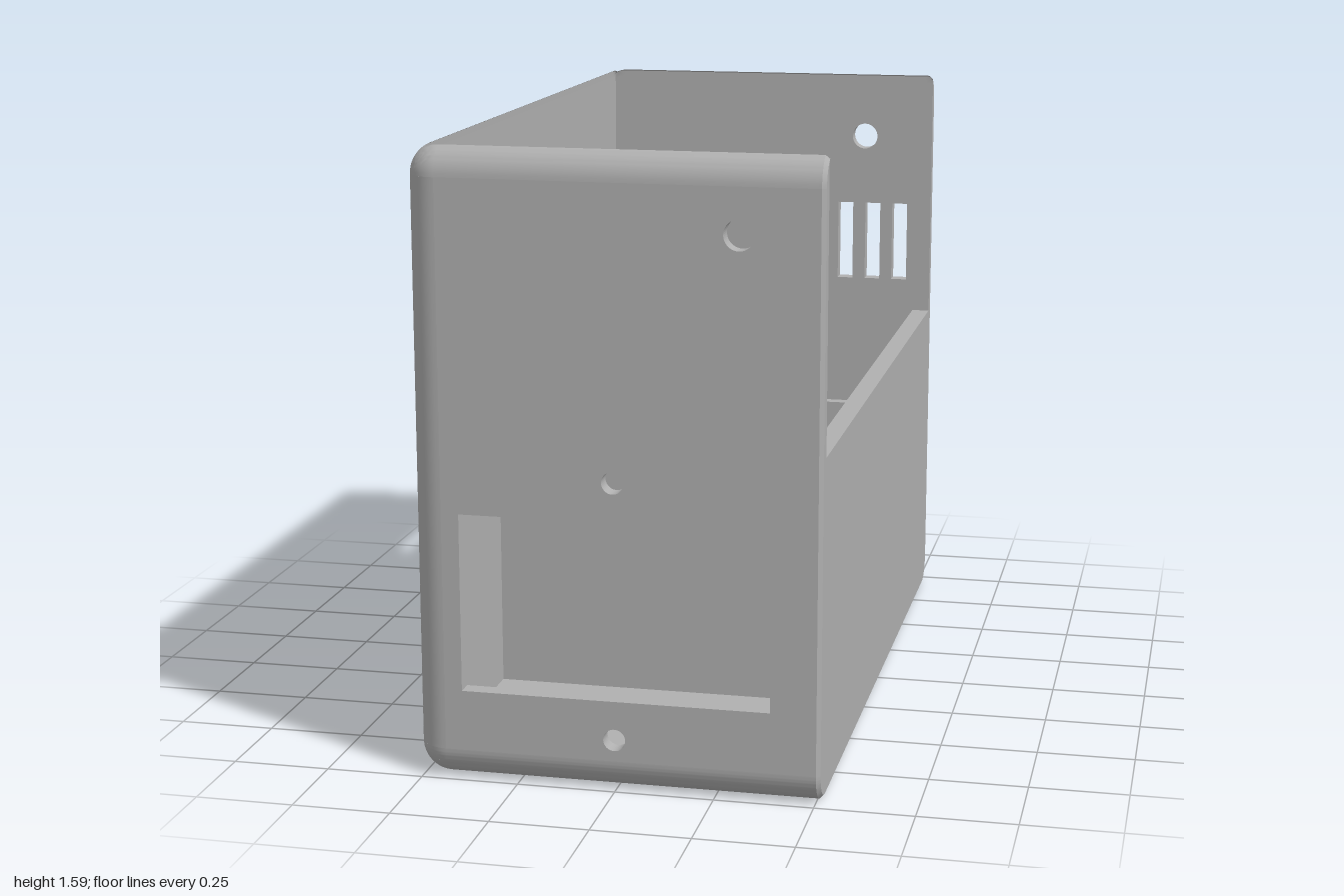
import * as THREE from 'three';
import { toCreasedNormals } from 'three/addons/utils/BufferGeometryUtils.js';

const X = 0.515, H = 1.6, Z = 1;      // outer half width, height, half depth
const R = 0.08, E = 0.01;             // edge radius, small chamfer on the +x rim
const T = 0.045, TX = 0.04;           // wall thicknesses
const clamp = THREE.MathUtils.clamp;

export function createModel() {
  const model = new THREE.Group();
  model.name = 'enclosure';
  const grey = new THREE.MeshStandardMaterial({ color: 0xb0b0b0 });
  grey.name = 'grey plastic';

  const add = (name, geometry) => {
    const mesh = new THREE.Mesh(geometry, grey);
    mesh.name = name;
    model.add(mesh);
    return mesh;
  };

  // Plain box from its limits
  const box = (name, x0, x1, y0, y1, z0, z1) =>
    add(name, new THREE.BoxGeometry(x1 - x0, y1 - y0, z1 - z0)
      .translate((x0 + x1) / 2, (y0 + y1) / 2, (z0 + z1) / 2));

  // Grid position along one side: long sides are fine only near both ends
  const segments = (len) => (len > 0.2 ? 17 : 8);
  const place = (a, b, t) => {
    if (b - a <= 0.2) return a + (b - a) * t;
    const i = Math.round(t * 17);
    return i <= 8 ? a + R * i / 8 : b - R * (17 - i) / 8;
  };

  // Pull a point onto the rounded outer form
  const roundOff = (v) => {
    const q = new THREE.Vector3(Math.max(v.x, -X + R),
      clamp(v.y, R, H - R), clamp(v.z, -Z + R, Z - R));
    const limit = R - Math.max(0, v.x - (X - E));
    const d = v.clone().sub(q);
    if (d.length() > limit) v.copy(q).add(d.setLength(limit));
  };

  // Box whose outer edges follow the rounded form
  const slab = (name, x0, x1, y0, y1, z0, z1) => {
    const g = new THREE.BoxGeometry(1, 1, 1, segments(x1 - x0), segments(y1 - y0), segments(z1 - z0));
    const p = g.attributes.position, v = new THREE.Vector3();
    for (let i = 0; i < p.count; i++) {
      v.set(place(x0, x1, p.getX(i) + 0.5), place(y0, y1, p.getY(i) + 0.5), place(z0, z1, p.getZ(i) + 0.5));
      roundOff(v);
      p.setXYZ(i, v.x, v.y, v.z);
    }
    add(name, toCreasedNormals(g, 0.6));
  };

  // Flat plate with cut-outs
  const outline = (path, a, b, c, d) =>
    path.moveTo(a, c).lineTo(b, c).lineTo(b, d).lineTo(a, d).closePath();
  const rect = (a, b, c, d) => outline(new THREE.Path(), a, b, c, d);
  const circle = (x, y, r) => new THREE.Path().absarc(x, y, r, 0, Math.PI * 2, true);
  const plate = (name, a, b, depth, holes) => {
    const shape = outline(new THREE.Shape(), a, b, R, H - R);
    shape.holes.push(...holes);
    return add(name, new THREE.ExtrudeGeometry(shape, { depth, bevelEnabled: false, curveSegments: 24 }));
  };

  // Front panel: display window, two screw holes, corner hole
  plate('frontPanel', -X + R, X - E, T, [
    rect(-0.39, 0.39, 0.235, 0.69),
    circle(0, 0.79, 0.028), circle(0, 0.135, 0.028), circle(0.31, 1.405, 0.038),
  ]).position.z = Z - T;

  // Back panel: vent slots and corner hole
  const vents = [0.17, 0.253, 0.337, 0.42].map((x) => rect(x - 0.023, x + 0.023, 0.965, 1.2));
  plate('backPanel', -X + R, X - E, T, [...vents, circle(0.31, 1.405, 0.038)]).position.z = -Z;

  // Side panel: socket window with four screw holes, switch slot
  const screws = [];
  for (const z of [-0.68, 0.05]) for (const y of [0.19, 0.385]) screws.push(circle(z, y, 0.033));
  const side = plate('sidePanel', -Z + R, Z - R, TX, [
    rect(-0.61, -0.02, 0.1, 0.47), rect(-0.79, -0.53, 0.92, 1.02), ...screws,
  ]);
  side.rotation.y = -Math.PI / 2;
  side.position.x = -X + TX;

  // Floor
  slab('floor', -X, X, 0, T, -Z, Z);

  // Rounded borders around the front and back panels
  for (const [name, s] of [['front', 1], ['back', -1]]) {
    const z0 = s > 0 ? Z - T : -Z, z1 = z0 + T;
    slab(name + 'BottomEdge', -X, X, T, R, z0, z1);
    slab(name + 'TopEdge', -X, X, H - R, H, z0, z1);
    slab(name + 'CornerEdge', -X, -X + R, R, H - R, z0, z1);
    slab(name + 'RimEdge', X - E, X, R, H - R, z0, z1);
    const e0 = s > 0 ? Z - R : -Z + T;
    slab(name + 'SideEdge', -X, -X + TX, R, H - R, e0, e0 + R - T);
  }

  // Rounded borders below and above the side panel
  slab('sideBottomEdge', -X, -X + TX, T, R, -Z + T, Z - T);
  slab('sideTopEdge', -X, -X + TX, H - R, H, -Z + T, Z - T);

  // Low wall on the open side, and the inner partition
  box('lowWall', 0.465, X, T, 0.87, -Z + T, Z - T);
  box('partition', -X + TX, 0.465, T, 0.87, 0.33, 0.36);

  return model;
}
